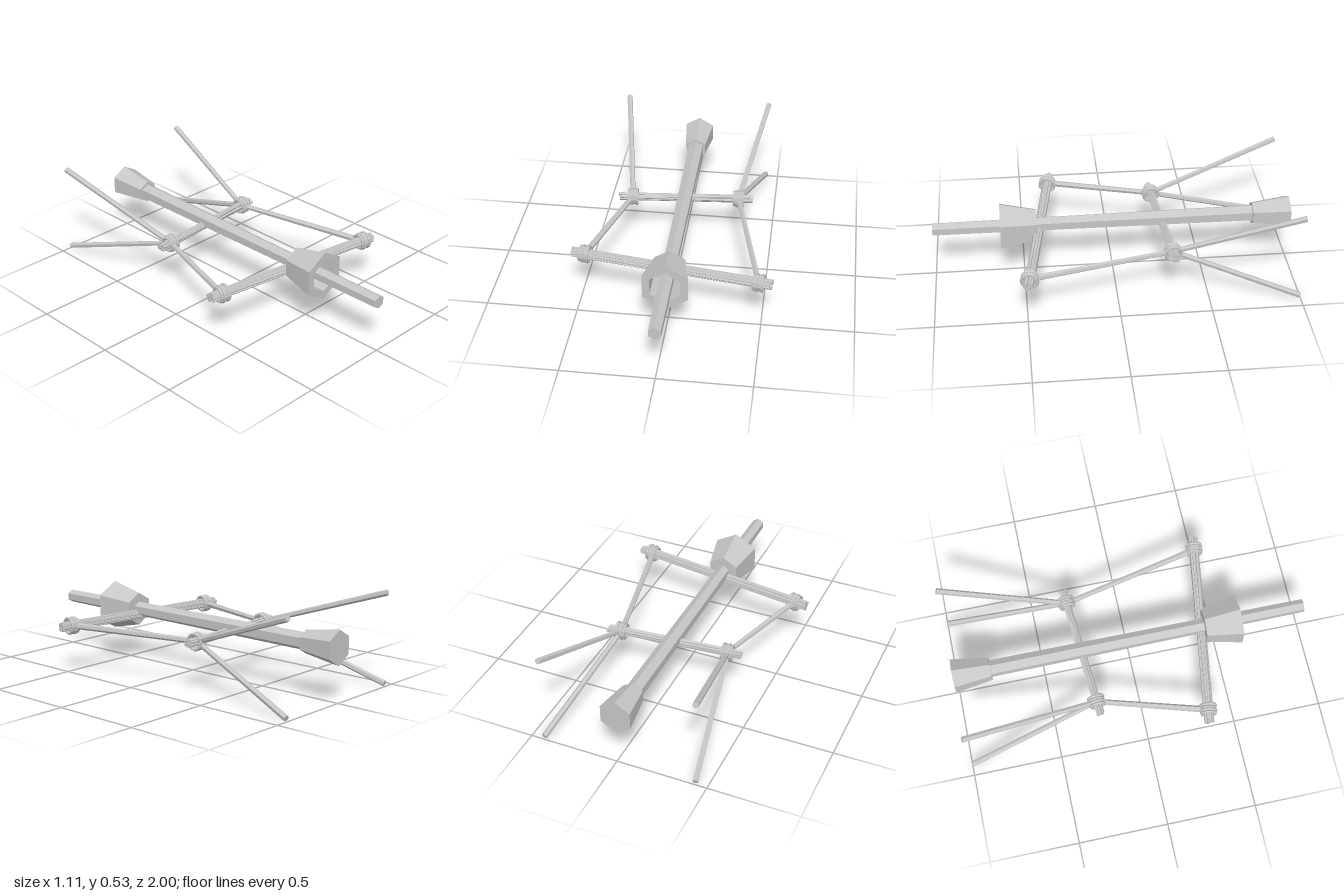
import * as THREE from 'three';

const grey = new THREE.MeshStandardMaterial({ color: 0xc6c6c6, flatShading: true });
grey.name = 'plain grey';

const V = (x, y, z) => new THREE.Vector3(x, y, z);
const UP = V(0, 1, 0);

function add(parent, geometry, name) {
  const mesh = new THREE.Mesh(geometry, grey);
  mesh.name = name;
  parent.add(mesh);
  return mesh;
}

// Straight pole between two points
function rod(parent, a, b, rA, rB, name, sides = 6) {
  const d = b.clone().sub(a);
  const mesh = add(parent, new THREE.CylinderGeometry(rB, rA, d.length(), sides), name);
  mesh.position.copy(a).add(b).multiplyScalar(0.5);
  mesh.quaternion.setFromUnitVectors(UP, d.normalize());
  return mesh;
}

// Small seeded random in -1..1
function seeded(seed) {
  let s = seed;
  return () => {
    s = (s * 16807) % 2147483647;
    return (s / 2147483647) * 2 - 1;
  };
}

// Hexagonal piece lying along z
function hexAlongZ(parent, zBack, zFront, rBack, rFront, name) {
  const g = new THREE.CylinderGeometry(rFront, rBack, zFront - zBack, 6);
  g.rotateX(Math.PI / 2);
  add(parent, g, name).position.set(0, 0.3, (zBack + zFront) / 2);
}

// Loose bundle of thin sticks forming a cross bar
function bundle(parent, a, b, radius, name, seed) {
  const group = new THREE.Group();
  group.name = name;
  const rnd = seeded(seed);
  const along = b.clone().sub(a).normalize();
  const side = V(0, 0, 0).crossVectors(along, UP).normalize();
  const point = (end, angle, r) => end.clone()
    .addScaledVector(side, Math.cos(angle) * r)
    .addScaledVector(UP, Math.sin(angle) * r);
  const thin = radius * 0.36;
  for (let i = 0; i < 8; i++) {
    const angle = (i / 7) * Math.PI * 2;
    const r = i === 7 ? 0 : radius - thin;
    const twist = 0.35 * rnd();
    const p = point(a, angle - twist, r).addScaledVector(along, 0.008 * rnd());
    const q = point(b, angle + twist, r).addScaledVector(along, 0.008 * rnd());
    rod(group, p, q, thin, thin, 'stick', 5);
  }
  parent.add(group);
}

// Rope wound round a bar where a strut crosses it
function lashing(parent, centre, along, name) {
  const group = new THREE.Group();
  group.name = name;
  for (let i = 0; i < 4; i++) {
    const ring = new THREE.TorusGeometry(i % 2 ? 0.043 : 0.039, 0.0085, 6, 12);
    add(group, ring, 'ropeTurn').position.z = -0.022 + i * 0.0147;
  }
  for (const tilt of [-0.35, 0.35]) {
    for (const axis of ['x', 'y']) {
      add(group, new THREE.TorusGeometry(0.037, 0.009, 6, 12), 'crossTurn').rotation[axis] = tilt;
    }
  }
  group.position.copy(centre);
  group.quaternion.setFromUnitVectors(V(0, 0, 1), along);
  parent.add(group);
}

export function createModel() {
  const model = new THREE.Group();
  model.name = 'lashedFrame';

  // Central shaft and solid rear end
  hexAlongZ(model, -0.9, 1, 0.049, 0.037, 'shaft');
  hexAlongZ(model, -1, -0.79, 0.096, 0.065, 'rearCap');

  // Front cup, thick walled and open to the front
  const cupProfile = [[0, 0], [0.094, 0], [0.14, 0.2], [0.094, 0.2], [0.094, 0.012], [0, 0.012]]
    .map(([x, y]) => new THREE.Vector2(x, y));
  const cup = new THREE.LatheGeometry(cupProfile, 6);
  cup.rotateX(Math.PI / 2);
  add(model, cup, 'frontCup').position.set(0, 0.3, 0.425);

  // Skewed cross bars
  const frontA = V(-0.55, 0.272, 0.328), frontB = V(0.55, 0.272, 0.492);
  const rearA = V(-0.38, 0.276, -0.245), rearB = V(0.38, 0.276, -0.308);
  bundle(model, frontA, frontB, 0.029, 'frontBar', 11);
  bundle(model, rearA, rearB, 0.024, 'rearBar', 37);

  const frontDir = frontB.clone().sub(frontA).normalize();
  const rearDir = rearB.clone().sub(rearA).normalize();

  // Joints, side struts and the splayed tail struts on both sides
  for (const s of [-1, 1]) {
    const side = s < 0 ? 'right' : 'left';
    const f = frontA.clone().lerp(frontB, 0.5 + s * 0.434);
    const r = rearA.clone().lerp(rearB, 0.5 + s * 0.4);
    lashing(model, f, frontDir, side + 'FrontLashing');
    lashing(model, r, rearDir, side + 'RearLashing');
    rod(model, f, r, 0.018, 0.015, side + 'SideStrut');
    const tailX = s < 0 ? -0.436 : 0.425;
    rod(model, r, V(tailX, 0.522, -0.995), 0.015, 0.017, side + 'UpperTailStrut');
    rod(model, r, V(tailX, 0.022, -0.995), 0.015, 0.017, side + 'LowerTailStrut');
  }
  return model;
}
